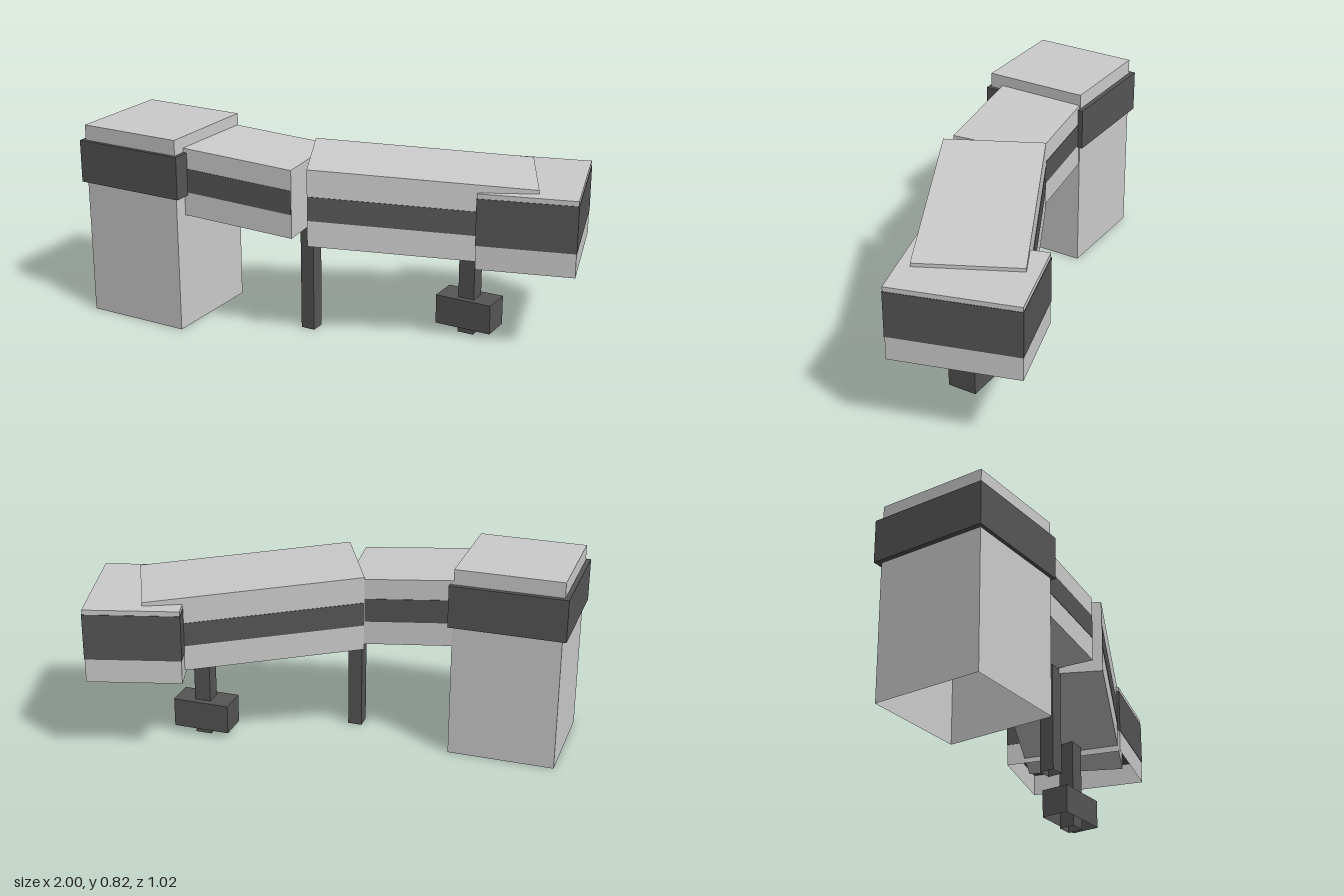
import * as THREE from 'three';

const grey = new THREE.MeshStandardMaterial({ color: 0xcccccc, flatShading: true, side: THREE.DoubleSide });
const dark = new THREE.MeshStandardMaterial({ color: 0x555555, flatShading: true, side: THREE.DoubleSide });

// Box given by its centre in plan, its size and its lowest and highest y
function block(name, material, x, z, w, d, y0, y1, { open = false, turn = 0 } = {}) {
  const geometry = new THREE.BoxGeometry(w, y1 - y0, d);
  if (open) {
    // drop the bottom face
    const index = Array.from(geometry.index.array);
    index.splice(18, 6);
    geometry.setIndex(index);
    geometry.clearGroups();
  }
  const mesh = new THREE.Mesh(geometry, material);
  mesh.name = name;
  mesh.position.set(x, (y0 + y1) / 2, z);
  mesh.rotation.y = turn;
  return mesh;
}

// Sloping walkway between two plan points; the ends stay vertical
function tunnel(name, [x0, z0], [x1, z1], width, top, height, drop, stripeOffset) {
  const group = new THREE.Group();
  group.name = name;
  const length = Math.hypot(x1 - x0, z1 - z0);
  const turn = Math.atan2(z0 - z1, x1 - x0);
  const add = (part, material, l, w, yTop, h) => {
    const mesh = block(part, material, (x0 + x1) / 2, (z0 + z1) / 2, l, w,
      yTop - drop / 2 - h, yTop - drop / 2, { turn });
    const p = mesh.geometry.attributes.position;
    for (let i = 0; i < p.count; i++) p.setY(i, p.getY(i) - drop * p.getX(i) / length);
    mesh.geometry.computeVertexNormals();
    group.add(mesh);
  };
  add(name + 'Body', grey, length, width, top, height);
  add(name + 'Stripe', dark, length - 0.004, width + 0.004, top - stripeOffset, 0.1);
  return group;
}

export function createModel() {
  const model = new THREE.Group();
  model.name = 'boardingBridge';
  const turn = 0.28;
  model.add(
    // Terminal end
    block('terminalBlock', grey, -0.755, 0.268, 0.45, 0.455, 0, 0.82, { open: true }),
    block('terminalBand', dark, -0.757, 0.265, 0.485, 0.49, 0.575, 0.755),
    // Walkways
    tunnel('innerTunnel', [-0.577, 0.246], [-0.075, 0.191], 0.39, 0.775, 0.285, 0.035, 0.085),
    tunnel('outerTunnel', [-0.075, 0.193], [0.735, -0.203], 0.43, 0.755, 0.318, 0.065, 0.11),
    // Cabin at the aircraft end
    block('cabin', grey, 0.735, -0.203, 0.393, 0.528, 0.36, 0.675, { open: true, turn }),
    block('cabinBand', dark, 0.735, -0.203, 0.397, 0.532, 0.46, 0.655, { turn }),
    // Supports
    block('fixedLeg', dark, -0.08, 0.195, 0.06, 0.062, 0, 0.465, { open: true }),
    block('wheeledLeg', dark, 0.51, -0.09, 0.07, 0.07, 0, 0.41, { open: true }),
    block('wheelCarriage', dark, 0.508, -0.092, 0.245, 0.125, 0.03, 0.155, { open: true }),
  );
  return model;
}
